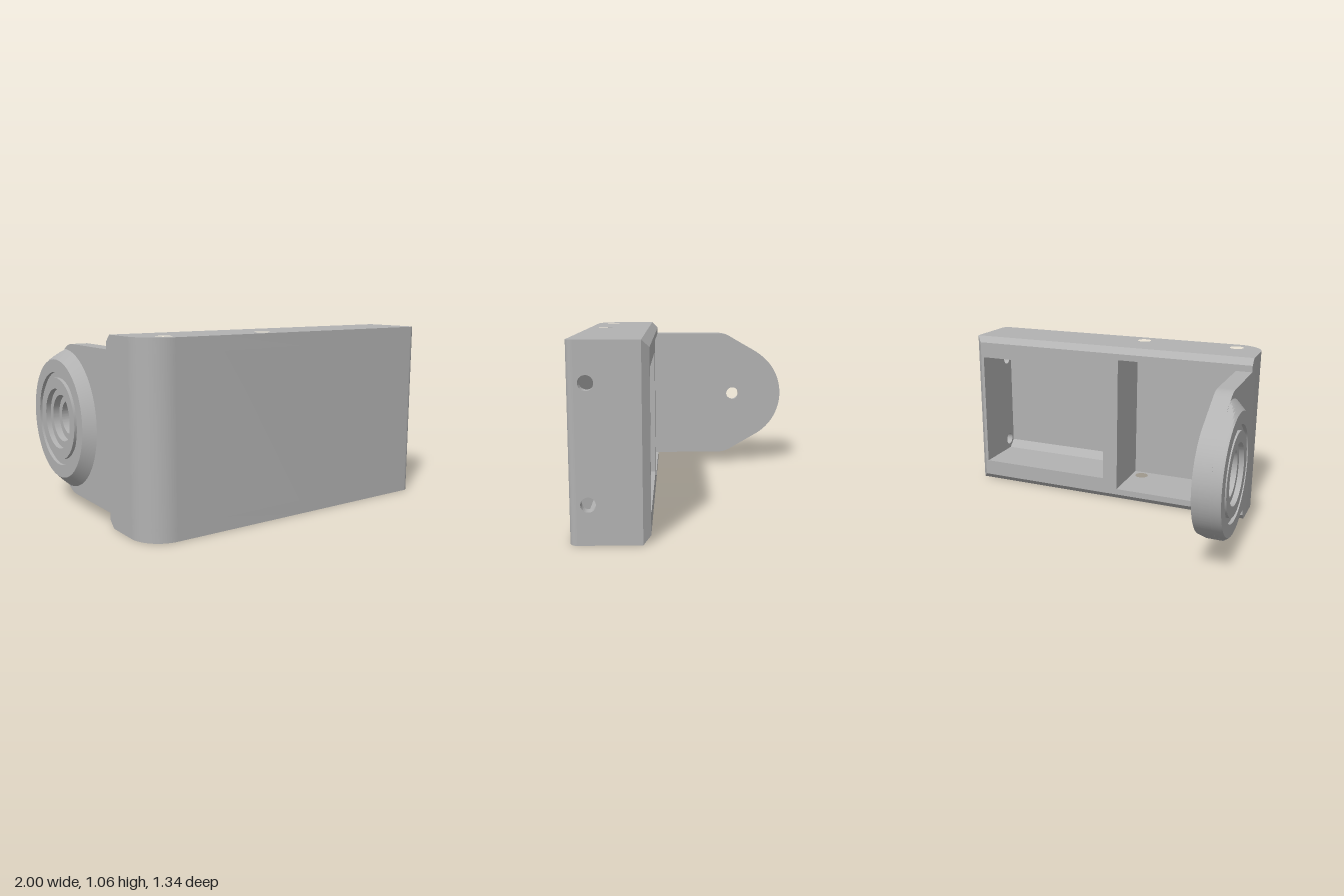
import * as THREE from 'three';
import { toCreasedNormals } from 'three/addons/utils/BufferGeometryUtils.js';

const HEIGHT = 1.06, BACK = 0.25, FRONT = 0.67, CHAMFER = 0.04;
const PIVOT_Y = 0.53, PIVOT_Z = -0.31, PIN = 0.045;

export function createModel() {
  const group = new THREE.Group();
  const grey = new THREE.MeshStandardMaterial({ color: 0xb2b2b2 });

  const add = (name, geometry) => {
    const mesh = new THREE.Mesh(toCreasedNormals(geometry, 0.45), grey);
    mesh.name = name;
    group.add(mesh);
  };
  const polygon = (points) => new THREE.Shape(points.map(([a, b]) => new THREE.Vector2(a, b)));
  const drill = (shape, a, b, r) => {
    const path = new THREE.Path();
    path.absarc(a, b, r, 0, Math.PI * 2, true);
    shape.holes.push(path);
  };
  // Plan shapes use (x, -z) and rise along y
  const rise = (shape, y0, y1, steps = 1) =>
    new THREE.ExtrudeGeometry(shape, { depth: y1 - y0, steps, bevelEnabled: false, curveSegments: 24 })
      .rotateX(-Math.PI / 2).translate(0, y0, 0);
  // Side shapes use (z, y) and run from x1 down to x0
  const across = (shape, x0, x1) =>
    new THREE.ExtrudeGeometry(shape, { depth: x1 - x0, bevelEnabled: false, curveSegments: 48 })
      .rotateY(-Math.PI / 2).translate(x1, 0, 0);

  // Rounded front edge shared by the plates and the wall band
  const frontEdge = (s) => {
    s.lineTo(1, -0.63);
    s.absarc(0.96, -0.63, 0.04, 0, -Math.PI / 2, true);
    s.lineTo(-0.76, -FRONT);
    s.absarc(-0.76, -0.49, 0.18, -Math.PI / 2, -Math.PI, true);
    s.closePath();
    return s;
  };

  // Top and bottom plates, with a mitred chamfer along the back edge
  for (const [name, y0, outerY] of [['topPlate', 0.98, HEIGHT], ['bottomPlate', 0, 0]]) {
    const s = new THREE.Shape();
    s.moveTo(-0.94, -BACK);
    s.lineTo(0.96, -BACK);
    s.lineTo(1, -BACK - CHAMFER);
    frontEdge(s);
    for (const x of [-0.77, -0.14]) drill(s, x, -0.565, PIN);
    const g = rise(s, y0, y0 + 0.08, 2);
    const p = g.attributes.position;
    for (let i = 0; i < p.count; i++) {
      if (Math.abs(p.getY(i) - outerY) < 0.001 && p.getZ(i) < BACK + 0.001) {
        p.setZ(i, BACK + CHAMFER);
        if (p.getX(i) > 0.9) p.setX(i, 1);
      }
    }
    add(name, g);
  }

  // Front panel, arm-side wall and divider in one band
  const band = new THREE.Shape();
  band.moveTo(-0.94, -BACK);
  for (const [x, z] of [[-0.84, BACK], [-0.84, 0.57], [-0.78, 0.63], [-0.07, 0.63],
    [-0.07, BACK], [0.03, BACK], [0.03, 0.63]]) band.lineTo(x, -z);
  add('frontPanelAndDivider', rise(frontEdge(band), 0.08, 0.98));

  // Ledges narrowing the first pocket, with sloped inner corners
  const ledge = [[0.03, -BACK], [0.96, -BACK], [1, -0.29], [1, -0.63], [0.03, -0.63]];
  add('lowerLedge', rise(polygon(ledge), 0.08, 0.145));
  add('upperLedge', rise(polygon(ledge), 0.915, 0.98));
  add('lowerSlope', across(polygon([[0.63, 0.145], [0.58, 0.145], [0.63, 0.195]]), 0.03, 0.94));
  add('upperSlope', across(polygon([[0.63, 0.915], [0.58, 0.915], [0.63, 0.865]]), 0.03, 0.94));

  // End wall with two screw holes and a chamfered rim
  const end = polygon([[0.29, 0.145], [0.63, 0.145], [0.63, 0.915], [0.29, 0.915]]);
  for (const y of [0.217, 0.845]) drill(end, 0.57, y, 0.04);
  add('endWall', across(end, 0.94, 1));
  add('endRim', rise(polygon([[0.94, -BACK], [0.96, -BACK], [1, -0.29], [0.94, -0.29]]), 0.145, 0.915));

  // Tapered arm, in two layers so the pivot can be counterbored
  const armLayer = (holeRadius) => {
    const s = new THREE.Shape();
    s.moveTo(BACK, 0.08);
    s.lineTo(BACK, 0.98);
    s.lineTo(-0.2, 0.98);
    s.quadraticCurveTo(-0.248, 0.98, -0.29, 0.956);
    s.absarc(PIVOT_Z, PIVOT_Y, 0.358, Math.PI * 2 / 3, Math.PI * 4 / 3, false);
    s.lineTo(-0.29, 0.104);
    s.quadraticCurveTo(-0.248, 0.08, -0.2, 0.08);
    s.closePath();
    drill(s, PIVOT_Z, PIVOT_Y, holeRadius);
    return s;
  };
  add('armInner', across(armLayer(PIN), -0.88, -0.84));
  add('armOuter', across(armLayer(0.2), -0.94, -0.88));

  // Flared boss side: a cone trimmed to the arm outline
  const position = [], index = [], rings = 6, sides = 96;
  for (let i = 0; i <= rings; i++) {
    const flare = 0.06 * i / rings;
    for (let j = 0; j <= sides; j++) {
      const a = (j / sides * 2 - 1) * Math.PI;
      const past = Math.max(0, Math.abs(a) - Math.PI / 3);
      const limit = past < 1.5 ? 0.358 / Math.cos(past) : 1;
      const r = Math.min(0.355 + flare, limit);
      position.push(-1 + flare, PIVOT_Y + r * Math.sin(a), PIVOT_Z - r * Math.cos(a));
      if (i < rings && j < sides) {
        const k = i * (sides + 1) + j, n = k + sides + 1;
        index.push(k, k + 1, n, k + 1, n + 1, n);
      }
    }
  }
  const boss = new THREE.BufferGeometry();
  boss.setAttribute('position', new THREE.Float32BufferAttribute(position, 3));
  boss.setIndex(index);
  add('bossSide', boss);

  // Boss face with ring groove and stepped counterbore: radius, depth
  const profile = [[0.355, 0], [0.28, 0], [0.28, 0.02], [0.245, 0.02], [0.245, 0], [0.18, 0],
    [0.18, 0.03], [0.14, 0.03], [0.14, 0.07], [0.1, 0.07], [0.1, 0.12], [PIN, 0.12]];
  const face = new THREE.LatheGeometry(profile.map(([r, d]) => new THREE.Vector2(r, -d)), 96);
  add('bossFace', face.rotateZ(Math.PI / 2).translate(-1, PIVOT_Y, PIVOT_Z));

  return group;
}
